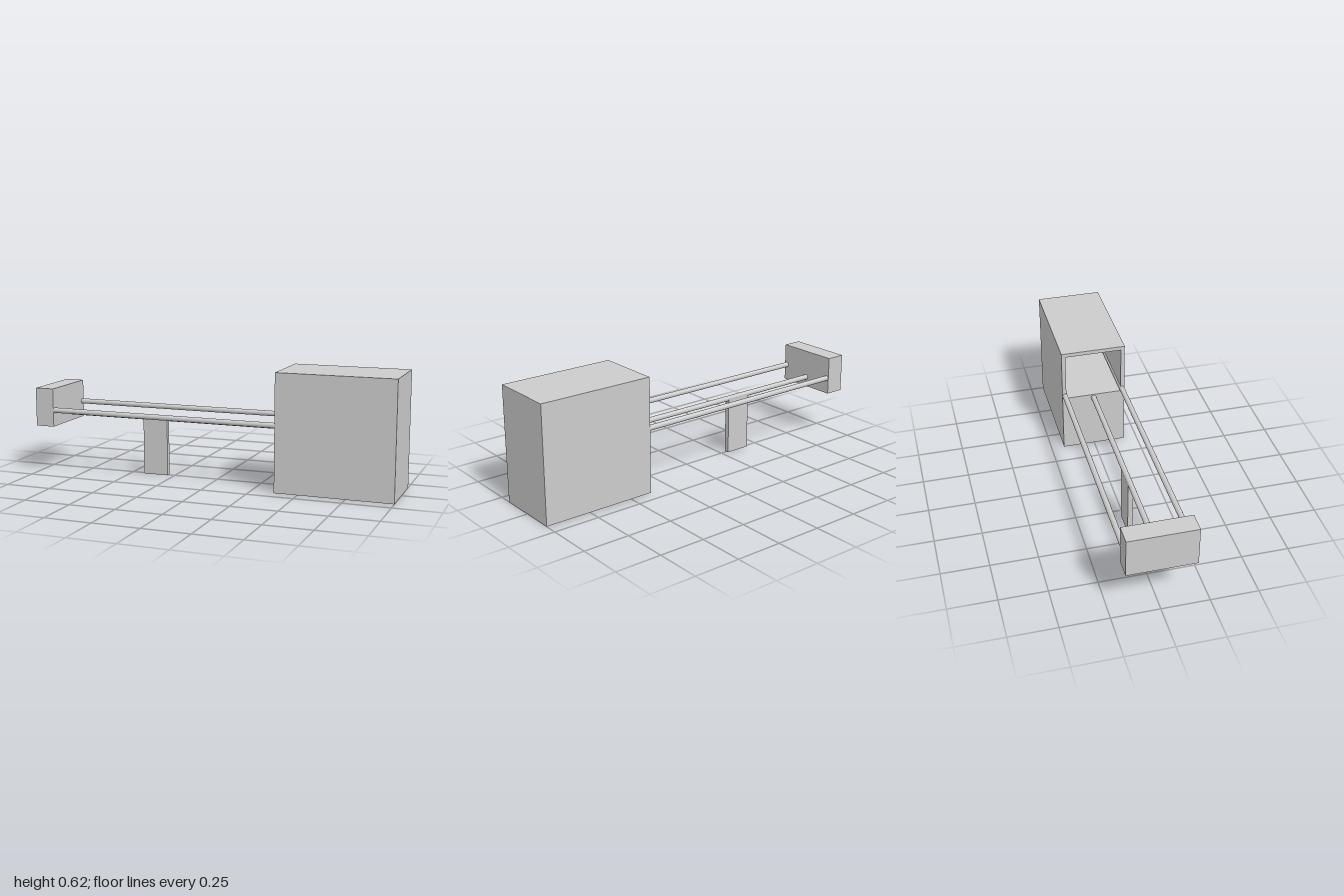
import * as THREE from 'three';

const material = new THREE.MeshStandardMaterial({ color: 0xcccccc });

function addMesh(parent, name, geometry, x, y, z) {
  const mesh = new THREE.Mesh(geometry, material);
  mesh.name = name;
  mesh.position.set(x, y, z);
  parent.add(mesh);
  return mesh;
}

// Box given by its extents in x and y and its full depth, centred on z = 0
function addBox(parent, name, x0, x1, y0, y1, depth) {
  return addMesh(parent, name, new THREE.BoxGeometry(x1 - x0, y1 - y0, depth),
    (x0 + x1) / 2, (y0 + y1) / 2, 0);
}

function addRod(parent, name, x0, x1, y, z) {
  const geometry = new THREE.CylinderGeometry(0.0145, 0.0145, x1 - x0, 24);
  geometry.rotateZ(Math.PI / 2);
  return addMesh(parent, name, geometry, (x0 + x1) / 2, y, z);
}

export function createModel() {
  const model = new THREE.Group();
  model.name = 'railMechanism';

  const depth = 0.356, half = depth / 2;
  const caseX = 0.375, caseTop = 0.625, wall = 0.022, floorY = 0.335;

  // Housing: solid lower half, upper compartment open towards the rods
  const housing = new THREE.Group();
  housing.name = 'housing';
  const section = new THREE.Shape([
    new THREE.Vector2(-half, 0), new THREE.Vector2(half, 0),
    new THREE.Vector2(half, caseTop), new THREE.Vector2(-half, caseTop),
  ]);
  const inner = half - wall;
  section.holes.push(new THREE.Path([
    new THREE.Vector2(-inner, floorY), new THREE.Vector2(-inner, caseTop - wall),
    new THREE.Vector2(inner, caseTop - wall), new THREE.Vector2(inner, floorY),
  ]));
  const shell = new THREE.ExtrudeGeometry(section, { depth: 1 - wall - caseX, bevelEnabled: false });
  shell.rotateY(Math.PI / 2);
  addMesh(housing, 'housingShell', shell, caseX, 0, 0);
  addBox(housing, 'housingEndWall', 1 - wall, 1, 0, caseTop, depth);
  model.add(housing);

  // End block that ties the rods together
  addBox(model, 'endBlock', -1, -0.895, 0.26, 0.47, depth);

  // Two upper side rods run into the compartment, the lower middle rod into the base
  for (const side of [-1, 1]) {
    addRod(model, side > 0 ? 'frontRod' : 'backRod', -0.91, 0.98, 0.35, side * 0.163);
  }
  addRod(model, 'middleRod', -0.91, 0.39, 0.315, 0);

  // Thin support leg under the middle rod
  addBox(model, 'supportLeg', -0.428, -0.288, 0, 0.32, 0.027);

  return model;
}
